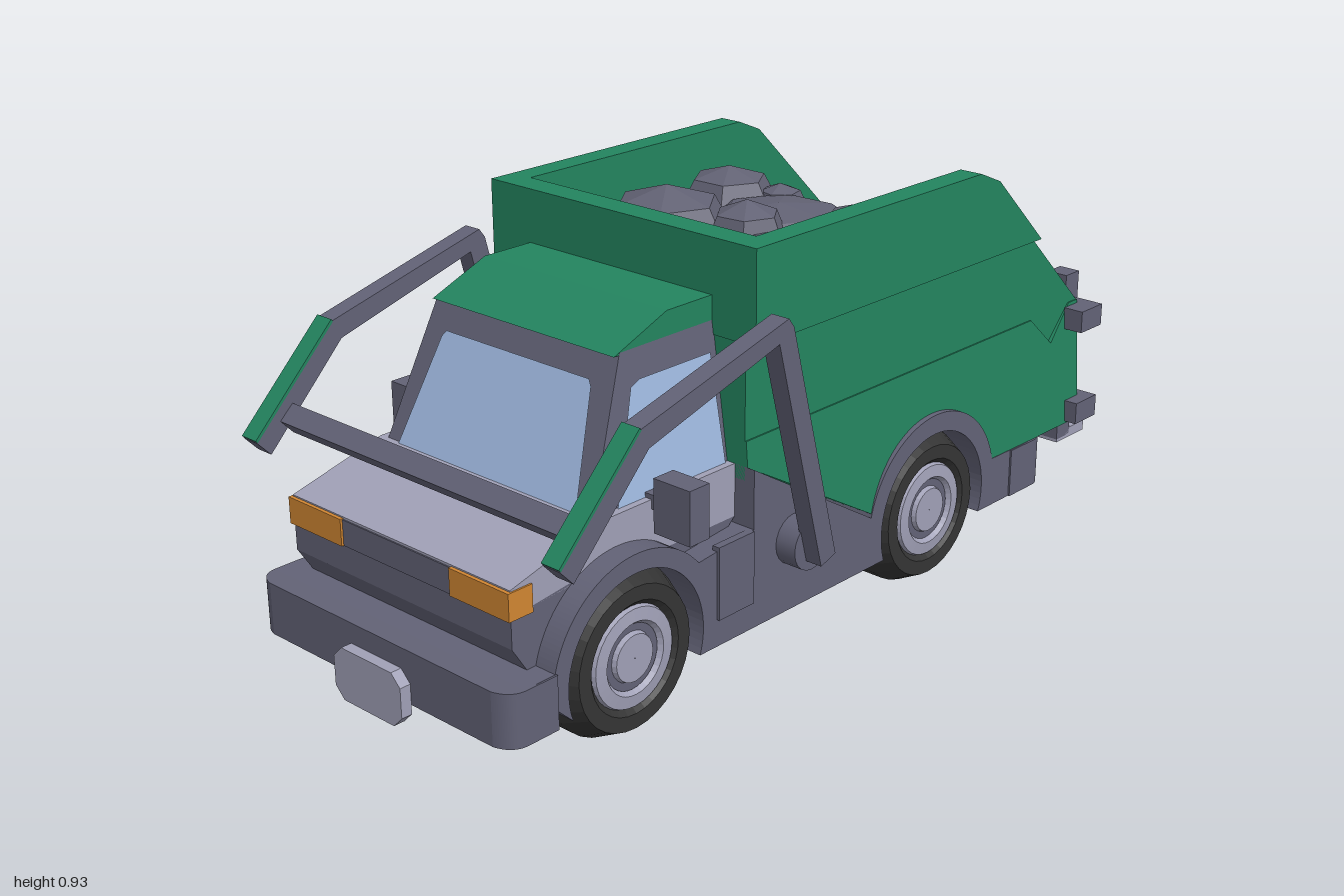
import * as THREE from 'three';

const mat = (name, color, extra = {}) => {
  const m = new THREE.MeshStandardMaterial({ color, ...extra });
  m.name = name;
  return m;
};

export function createModel() {
  const truck = new THREE.Group();
  truck.name = 'garbageTruck';
  const grey = mat('body grey', 0x626276);
  const light = mat('light grey', 0xa0a0b6);
  const green = mat('hopper green', 0x23845f);
  const tyre = mat('tyre black', 0x343434);
  const glass = mat('window blue', 0x9fb9e0, { side: THREE.DoubleSide });
  const orange = mat('lamp orange', 0xd08632);
  const red = mat('lamp red', 0xaa4a42);
  const rubble = mat('rubble grey', 0x626274, { flatShading: true });

  const add = (name, geo, material) => {
    const m = new THREE.Mesh(geo, material);
    m.name = name;
    truck.add(m);
    return m;
  };
  // box given by its limits
  const box = (name, material, x0, x1, y0, y1, z0, z1) =>
    add(name, new THREE.BoxGeometry(x1 - x0, y1 - y0, z1 - z0)
      .translate((x0 + x1) / 2, (y0 + y1) / 2, (z0 + z1) / 2), material);
  const poly = pts => new THREE.Shape(pts.map(p => new THREE.Vector2(...p)));
  const extrude = (shape, depth) =>
    new THREE.ExtrudeGeometry(shape, { depth, bevelEnabled: false, curveSegments: 24 });
  // side outline in (z, y), extruded across x
  const side = (shape, x0, x1) =>
    extrude(Array.isArray(shape) ? poly(shape) : shape, x1 - x0).rotateY(-Math.PI / 2).translate(x1, 0, 0);
  // flat convex panel from corner points
  const panel = pts => {
    const g = new THREE.BufferGeometry();
    g.setAttribute('position', new THREE.Float32BufferAttribute(pts.flat(), 3));
    g.setIndex(pts.slice(2).flatMap((_, i) => [0, i + 1, i + 2]));
    g.computeVertexNormals();
    return g;
  };
  // [near, far] limits mirrored to side s
  const mx = (s, a, b) => (s > 0 ? [a, b] : [-b, -a]);

  const WF = 0.635, WR = -0.305, WY = 0.18, PI = Math.PI;

  // chassis with wheel arches
  const ch = new THREE.Shape();
  ch.moveTo(0.93, 0.12);
  ch.absarc(WF, WY, 0.185, -0.33, PI + 0.33, false);
  ch.absarc(WR, WY, 0.185, -0.33, PI + 0.33, false);
  ch.lineTo(-0.7, 0.12);
  ch.lineTo(-0.7, 0.235);
  ch.absarc(WR, WY, 0.23, PI - 0.25, 0.25, true);
  ch.lineTo(0.3, 0.47);
  ch.lineTo(0.3, 0.34);
  ch.lineTo(0.41, 0.33);
  ch.absarc(WF, WY, 0.225, PI - 0.7, 0.25, true);
  ch.lineTo(0.93, 0.235);
  add('chassis', side(ch, -0.372, 0.372), grey);
  box('underbody', tyre, -0.16, 0.16, 0.14, 0.3, -0.55, 0.85);

  // rounded chassis ends and plates
  const octagon = [[-0.1, 0.1], [-0.075, 0.075], [0.075, 0.075], [0.1, 0.1], [0.1, 0.165], [0.075, 0.19], [-0.075, 0.19], [-0.1, 0.165]];
  for (const [s, z0, z1] of [[1, 0.85, 0.975], [-1, 0.6, 0.74]]) {
    const b = new THREE.Shape();
    b.moveTo(-0.376, -z0);
    b.lineTo(0.376, -z0);
    b.lineTo(0.376, -z1 + 0.05);
    b.quadraticCurveTo(0.376, -z1 + 0.01, 0.33, -z1);
    b.lineTo(-0.33, -z1);
    b.quadraticCurveTo(-0.376, -z1 + 0.01, -0.376, -z1 + 0.05);
    const g = extrude(b, 0.115).rotateX(-PI / 2).translate(0, 0.12, 0);
    if (s < 0) g.rotateY(PI);
    add(s > 0 ? 'frontBumper' : 'rearBumper', g, grey);
    add('bumperPlate', extrude(poly(octagon), 0.025).translate(0, 0, s > 0 ? z1 : -z1 - 0.025), light);
  }

  // wheels: chamfered tyre, rim and hub
  const tyrePts = [[0.001, -0.1], [0.14, -0.1], [0.152, -0.1], [0.18, -0.045], [0.18, 0.045], [0.152, 0.1], [0.12, 0.1], [0.105, 0.085], [0.001, 0.085]];
  const wheelParts = [['tyre', tyre, tyrePts, 32],
    ['rim', light, [[0.07, 0.08], [0.112, 0.08], [0.105, 0.097], [0.078, 0.1], [0.07, 0.09]].reverse(), 32],
    ['rimDish', grey, [[0.075, 0.082], [0.075, 0.088], [0.001, 0.088]], 24],
    ['hub', light, [[0.055, 0.085], [0.05, 0.098], [0.001, 0.098]], 24]];
  for (const s of [1, -1]) for (const z of [WF, WR]) {
    const w = new THREE.Group();
    w.name = 'wheel';
    for (const [name, m, pts, n] of wheelParts) {
      let prof = pts.map(p => new THREE.Vector2(...p));
      if (name === 'rim') prof = prof.reverse();
      const g = new THREE.LatheGeometry(prof, n).toNonIndexed();
      g.computeVertexNormals();
      const mesh = new THREE.Mesh(g, m);
      mesh.name = name;
      w.add(mesh);
    }
    w.rotation.z = -s * PI / 2;
    w.position.set(s * 0.265, WY, z);
    truck.add(w);
  }

  // cab lower body, hood and lamps
  const cb = new THREE.Shape();
  cb.moveTo(0.3, 0.235);
  cb.absarc(WF, WY, 0.205, PI - 0.27, 0.27, true);
  for (const p of [[0.875, 0.235], [0.91, 0.29], [0.91, 0.355], [0.3, 0.355]]) cb.lineTo(...p);
  add('cabBase', side(cb, -0.32, 0.32), grey);
  add('hood', side([[0.3, 0.355], [0.895, 0.355], [0.91, 0.405], [0.91, 0.411], [0.68, 0.47], [0.3, 0.47]], -0.32, 0.32), light);
  box('grille', grey, -0.32, 0.32, 0.35, 0.406, 0.89, 0.913);

  // cabin with sloped windscreen
  const cabin = new THREE.BoxGeometry(2, 1, 1);
  const P = cabin.attributes.position;
  for (let i = 0; i < P.count; i++) {
    const top = P.getY(i) > 0;
    P.setXYZ(i, P.getX(i) * (top ? 0.26 : 0.3), top ? 0.76 : 0.465, P.getZ(i) > 0 ? (top ? 0.56 : 0.68) : 0.3);
  }
  cabin.computeVertexNormals();
  add('cabin', cabin, grey);
  add('cabRoof', side([[0.3, 0.755], [0.575, 0.755], [0.43, 0.812], [0.3, 0.812]], -0.26, 0.26), green);
  const ws = (x, y) => [x, y, 0.684 - 0.12 * (y - 0.47) / 0.29];
  add('windscreen', panel([ws(-0.26, 0.47), ws(0.26, 0.47), ws(0.215, 0.69), ws(0.205, 0.702), ws(-0.205, 0.702), ws(-0.215, 0.69)]), glass);

  for (const s of [1, -1]) {
    const sw = (z, y) => [s * (0.304 - 0.04 * (y - 0.47) / 0.29), y, z];
    const win = [sw(0.31, 0.47), sw(0.32, 0.7), sw(0.52, 0.7), sw(0.545, 0.69), sw(0.615, 0.47)];
    add('sideWindow', panel(s > 0 ? win : win.reverse()), glass);
    box('headlamp', orange, ...mx(s, 0.16, 0.324), 0.35, 0.408, 0.858, 0.918);
    box('sideStep', grey, ...mx(s, 0.36, 0.378), 0.18, 0.34, 0.305, 0.41);
    // mirrors
    box('mirror', grey, ...mx(s, 0.34, 0.435), 0.41, 0.525, 0.5, 0.555);
    box('mirrorGlass', light, ...mx(s, 0.348, 0.427), 0.42, 0.515, 0.496, 0.5);
    box('mirrorArm', grey, ...mx(s, 0.28, 0.35), 0.45, 0.48, 0.515, 0.54);

    // lifting arm and pivot
    add('liftArm', side([[0.15, 0.265], [0.195, 0.25], [0.332, 0.765], [0.69, 0.662], [0.885, 0.462], [0.918, 0.497],
      [0.71, 0.705], [0.305, 0.81], [0.29, 0.79]], ...mx(s, 0.418, 0.462)), grey);
    add('armPad', side([[0.71, 0.703], [0.916, 0.497], [0.921, 0.502], [0.714, 0.709]], ...mx(s, 0.417, 0.463)), green);
    add('armPivot', new THREE.CylinderGeometry(0.055, 0.055, 0.075, 20).rotateZ(PI / 2).translate(s * 0.385, 0.28, 0.177), grey);

    // hopper side walls and overhanging upper band
    add('hopperWall', side([[0.3, 0.44], [0.3, 0.93], [-0.43, 0.93], [-0.5, 0.9], [-0.88, 0.53], [-0.88, 0.44]], ...mx(s, 0.32, 0.347)), green);
    add('hopperBand', side([[0.3, 0.73], [0.3, 0.93], [-0.43, 0.93], [-0.5, 0.9], [-0.675, 0.73]], ...mx(s, 0.345, 0.376)), green);

    // rear fork with brackets, lamp
    box('rearPost', grey, ...mx(s, 0.262, 0.315), 0.16, 0.58, -0.937, -0.884);
    box('rearFoot', light, ...mx(s, 0.2, 0.315), 0.152, 0.177, -1, -0.885);
    for (const y of [0.24, 0.47]) {
      box('rearBracket', grey, ...mx(s, 0.31, 0.4), y, y + 0.052, -0.912, -0.88);
      box('bracketSide', grey, ...mx(s, 0.35, 0.4), y, y + 0.052, -0.9, -0.828);
    }
    box('tailLamp', red, ...mx(s, 0.27, 0.345), 0.242, 0.345, -0.892, -0.886);
  }
  const bar = add('armCrossbar', new THREE.BoxGeometry(0.84, 0.045, 0.045), grey);
  bar.position.set(0, 0.525, 0.825);
  bar.rotation.x = 0.75;

  // hopper lower body, flared toward the bottom
  const hl = new THREE.Shape();
  hl.moveTo(0.3, 0.47);
  hl.lineTo(-0.085, 0.245);
  hl.absarc(WR, WY, 0.207, 0.3, PI - 0.27, false);
  for (const p of [[-0.88, 0.235], [-0.88, 0.53], [-0.845, 0.53], [-0.77, 0.45], [-0.69, 0.525], [0.3, 0.525]]) hl.lineTo(...p);
  const lower = side(hl, -1, 1);
  const L = lower.attributes.position;
  for (let i = 0; i < L.count; i++) L.setX(i, L.getX(i) * (0.35 + 0.021 * (0.53 - L.getY(i)) / 0.295));
  lower.computeVertexNormals();
  add('hopperBase', lower, green);
  box('hopperFront', green, -0.347, 0.347, 0.44, 0.93, 0.24, 0.3);
  box('hopperFrontBand', green, -0.376, 0.376, 0.73, 0.93, 0.242, 0.302);
  box('rearSill', grey, -0.352, 0.352, 0.235, 0.35, -0.886, -0.87);

  // load and rubble
  add('load', side([[0.245, 0.5], [0.245, 0.79], [-0.4, 0.79], [-0.77, 0.45], [-0.7, 0.45]], -0.321, 0.321), rubble);
  for (const [x, z, r, k] of [[-0.2, -0.26, 0.12, 0.75], [-0.09, -0.31, 0.065, 0.9], [0.145, -0.28, 0.075, 0.8],
    [-0.12, 0.03, 0.16, 0.75], [0.04, -0.05, 0.1, 1], [0.185, 0.14, 0.07, 0.9],
    [0.0, -0.2, 0.18, 0.3], [0.17, -0.02, 0.14, 0.4], [0.06, 0.1, 0.12, 0.3]]) {
    const rock = add('rubble', new THREE.SphereGeometry(r, 6, 4), rubble);
    rock.position.set(x, 0.79, z);
    rock.scale.y = k;
    rock.rotation.y = x * 9 + z * 5;
  }
  return truck;
}
